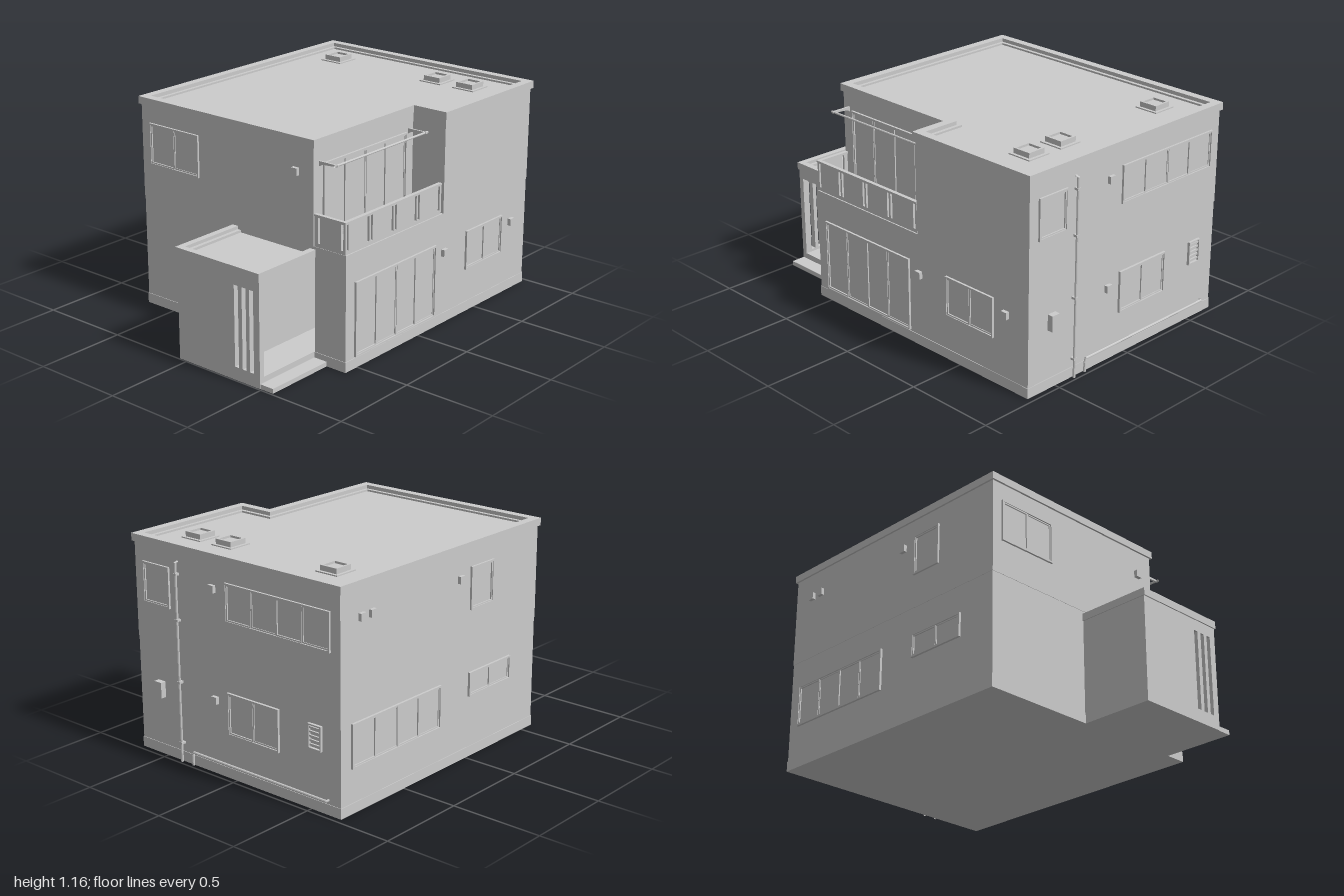
import * as THREE from 'three';

const mat = new THREE.MeshStandardMaterial({ color: 0xcccccc, flatShading: true, side: THREE.DoubleSide });

function add(parent, name, geo, x = 0, y = 0, z = 0) {
  const m = new THREE.Mesh(geo, mat);
  m.name = name;
  m.position.set(x, y, z);
  parent.add(m);
  return m;
}

// Box given by its limits
function block(parent, name, x0, x1, y0, y1, z0, z1) {
  return add(parent, name, new THREE.BoxGeometry(x1 - x0, y1 - y0, z1 - z0),
    (x0 + x1) / 2, (y0 + y1) / 2, (z0 + z1) / 2);
}

const shapeOf = pts => new THREE.Shape(pts.map(p => new THREE.Vector2(p[0], p[1])));
const rect = (x0, x1, y0, y1) => [[x0, y0], [x1, y0], [x1, y1], [x0, y1]];

function plate(outer, holes, depth) {
  const s = shapeOf(outer);
  holes.forEach(h => s.holes.push(shapeOf(h)));
  return new THREE.ExtrudeGeometry(s, { depth, bevelEnabled: false });
}

// Plan outline in (x, z) raised from y0 to y1
function storey(parent, name, outer, y0, y1, holes = []) {
  const flip = pts => pts.map(([x, z]) => [x, -z]);
  const g = plate(flip(outer), holes.map(flip), y1 - y0).rotateX(-Math.PI / 2);
  return add(parent, name, g, 0, y0, 0);
}

// L-shaped upper plan, inset by d
const roofPlan = d => [
  [-0.70 + d, -0.98 + d], [0.70 - d, -0.98 + d], [0.70 - d, -0.188 - d],
  [0.495 - d, -0.188 - d], [0.495 - d, 0.60 - d], [-0.70 + d, 0.60 - d]];

// Group lying on a wall, local +z pointing outwards, u = world x or z along the wall
function onWall(parent, name, side, u, y, out) {
  const g = new THREE.Group();
  g.name = name;
  const turn = { front: 0, right: Math.PI / 2, back: Math.PI, left: -Math.PI / 2 }[side];
  g.rotation.y = turn;
  if (side === 'front' || side === 'back') g.position.set(u, y, side === 'front' ? out : -out);
  else g.position.set(side === 'right' ? out : -out, y, u);
  parent.add(g);
  return g;
}

function addWindow(parent, name, side, u0, u1, y0, y1, panes, out) {
  const g = onWall(parent, name, side, (u0 + u1) / 2, (y0 + y1) / 2, out);
  const w = u1 - u0, h = y1 - y0, f = 0.009;
  const inner = rect(-w / 2 + f, w / 2 - f, -h / 2 + f, h / 2 - f);
  add(g, 'frame', plate(rect(-w / 2, w / 2, -h / 2, h / 2), [inner], 0.018), 0, 0, -0.006);
  block(g, 'glass', -w / 2 + f, w / 2 - f, -h / 2 + f, h / 2 - f, -0.004, 0.001);
  // sashes alternate in depth like sliding panels
  const pw = (w - 2 * f) / panes, s = 0.007;
  for (let i = 0; i < panes; i++) {
    const x0 = -w / 2 + f + i * pw, x1 = x0 + pw;
    const hole = rect(x0 + s, x1 - s, -h / 2 + f + s, h / 2 - f - s);
    add(g, 'sash', plate(rect(x0, x1, -h / 2 + f, h / 2 - f), [hole], i % 2 ? 0.005 : 0.008));
  }
}

function addVent(parent, side, u, y, out) {
  const g = onWall(parent, 'vent', side, u, y, out);
  block(g, 'ventHood', -0.018, 0.018, -0.019, 0.019, 0, 0.022);
}

function pipe(parent, name, pts, r) {
  const path = new THREE.CurvePath();
  const v = pts.map(p => new THREE.Vector3(...p));
  for (let i = 1; i < v.length; i++) path.add(new THREE.LineCurve3(v[i - 1], v[i]));
  add(parent, name, new THREE.TubeGeometry(path, 40, r, 8, false));
}

export function createModel() {
  const house = new THREE.Group();
  house.name = 'house';

  // Foundation, ground floor with entrance recess, upper floor
  storey(house, 'foundation', rect(-0.69, 0.69, -0.97, 0.59), 0, 0.055);
  storey(house, 'groundFloor', [[-0.687, -0.967], [0.687, -0.967], [0.687, 0.587], [0.49, 0.587],
    [0.49, 0.33], [0.30, 0.33], [0.30, 0.587], [-0.687, 0.587]], 0.055, 0.51);
  storey(house, 'floorBand', rect(-0.687, 0.687, -0.967, 0.587), 0.51, 0.615);
  storey(house, 'upperFloor', roofPlan(0.011), 0.615, 1.125);

  // Roof and parapet
  storey(house, 'roofDeck', roofPlan(0.04), 1.12, 1.13);
  storey(house, 'parapet', roofPlan(0), 1.12, 1.16, [roofPlan(0.046)]);
  storey(house, 'parapetStep', roofPlan(0.046), 1.12, 1.14, [roofPlan(0.065)]);
  for (const x of [-0.455, 0.24, 0.455]) {
    const hatch = new THREE.Group();
    hatch.name = 'roofHatch';
    hatch.position.set(x, 0, -0.735);
    house.add(hatch);
    block(hatch, 'hatchBase', -0.068, 0.068, 1.125, 1.136, -0.068, 0.068);
    storey(hatch, 'hatchRim', rect(-0.052, 0.052, -0.052, 0.052), 1.13, 1.163,
      [rect(-0.04, 0.04, -0.04, 0.04)]);
    block(hatch, 'hatchPane', -0.042, 0.042, 1.13, 1.152, -0.042, 0.042);
  }

  // Porch, open on the left side
  const porch = new THREE.Group();
  porch.name = 'porch';
  house.add(porch);
  block(porch, 'porchFloor', -0.05, 0.49, 0, 0.056, 0.58, 0.993);
  block(porch, 'porchStep', 0.49, 0.57, 0, 0.025, 0.59, 0.99);
  block(porch, 'porchBlock', -0.05, 0.30, 0.055, 0.51, 0.58, 0.993);
  block(porch, 'porchCeiling', -0.05, 0.49, 0.51, 0.57, 0.58, 0.993);
  const slits = [0.341, 0.391, 0.439].map(x => rect(x - 0.013, x + 0.013, 0.07, 0.5));
  add(porch, 'slottedWall', plate(rect(0.30, 0.49, 0.055, 0.51), slits, 0.03), 0, 0, 0.963);
  storey(porch, 'porchParapet', rect(-0.055, 0.495, 0.55, 1.0), 0.56, 0.60,
    [rect(-0.02, 0.46, 0.56, 0.965)]);
  storey(porch, 'porchParapetStep', rect(-0.02, 0.46, 0.56, 0.965), 0.56, 0.583,
    [rect(0, 0.44, 0.57, 0.945)]);
  block(porch, 'doorLeaf', 0.298, 0.306, 0.06, 0.50, 0.62, 0.89);
  block(porch, 'doorHandle', 0.306, 0.322, 0.165, 0.29, 0.851, 0.858);
  block(porch, 'porchLamp', 0.298, 0.318, 0.38, 0.418, 0.90, 0.938);

  // Balcony fence with narrow gaps beside each post
  const balcony = new THREE.Group();
  balcony.name = 'balcony';
  house.add(balcony);
  const gaps = us => us.map(u => rect(u - 0.007, u + 0.007, 0.635, 0.768));
  const sideFence = plate(rect(-0.585, 0.188, 0.612, 0.78),
    gaps([-0.568, -0.408, -0.382, -0.217, -0.191, -0.028, -0.002, 0.168]), 0.012).rotateY(Math.PI / 2);
  add(balcony, 'sideFence', sideFence, 0.668);
  add(balcony, 'frontFence', plate(rect(0.486, 0.68, 0.612, 0.78), gaps([0.516, 0.66]), 0.012), 0, 0, 0.573);
  block(balcony, 'sideHandrail', 0.663, 0.684, 0.773, 0.783, -0.187, 0.588);
  block(balcony, 'frontHandrail', 0.486, 0.684, 0.773, 0.783, 0.568, 0.588);

  // Drying pole on two tapered brackets
  const arm = plate([[0.484, 1.015], [0.505, 1.028], [0.60, 1.034], [0.60, 1.043], [0.484, 1.043]], [], 0.01);
  for (const z of [0.54, -0.165]) add(balcony, 'poleBracket', arm, 0, 0, z);
  pipe(balcony, 'dryingPole', [[0.59, 1.038, 0.56], [0.59, 1.038, -0.18]], 0.006);

  // Windows: name, side, limits along wall, limits in height, panes, wall distance
  const windows = [
    ['frontWindow', 'front', -0.63, -0.28, 0.80, 1.027, 2, 0.588],
    ['balconyDoor', 'right', -0.137, 0.52, 0.63, 1.027, 4, 0.484],
    ['terraceDoor', 'right', -0.137, 0.52, 0.063, 0.46, 4, 0.687],
    ['sideWindow', 'right', -0.737, -0.405, 0.243, 0.46, 2, 0.687],
    ['longLowWindow', 'left', -0.895, -0.22, 0.235, 0.465, 4, 0.688],
    ['shallowWindow', 'left', 0.013, 0.365, 0.335, 0.465, 2, 0.688],
    ['tallWindow', 'left', 0.013, 0.20, 0.80, 1.027, 1, 0.688],
    ['backSquareWindow', 'back', 0.44, 0.63, 0.81, 1.027, 1, 0.968],
    ['backLongWindow', 'back', -0.63, 0.05, 0.825, 1.027, 4, 0.968],
    ['backLowWindow', 'back', -0.295, 0.05, 0.235, 0.46, 2, 0.968]];
  windows.forEach(w => addWindow(house, ...w));

  // Wall vents
  const vents = [['front', 0.375, 0.98, 0.587], ['right', -0.21, 0.4, 0.685], ['right', -0.82, 0.4, 0.685],
    ['left', -0.825, 0.98, 0.685], ['left', -0.75, 0.98, 0.685], ['left', -0.07, 0.98, 0.685],
    ['back', 0.135, 0.98, 0.965], ['back', 0.135, 0.4, 0.965]];
  vents.forEach(v => addVent(house, ...v));

  // Back wall fittings
  block(house, 'meterBox', 0.505, 0.555, 0.32, 0.405, -0.998, -0.965);
  const panel = onWall(house, 'grillePanel', 'back', -0.53, 0.38, 0.966);
  add(panel, 'grilleFrame', plate(rect(-0.042, 0.042, -0.065, 0.065),
    [rect(-0.034, 0.034, -0.057, 0.057)], 0.015));
  for (let i = 0; i < 5; i++) block(panel, 'grilleSlat', -0.034, 0.034, -0.048 + i * 0.022, -0.038 + i * 0.022, 0, 0.01);
  pipe(house, 'drainPipe', [[0.38, 1.07, -0.96], [0.38, 1.07, -0.985], [0.38, 0.003, -0.985]], 0.007);
  for (const y of [0.1, 0.43, 0.76, 1.0]) block(house, 'pipeClamp', 0.37, 0.39, y, y + 0.012, -0.993, -0.96);
  pipe(house, 'lowPipe', [[0.30, 0.003, -0.982], [0.30, 0.075, -0.982], [-0.61, 0.075, -0.982], [-0.61, 0.075, -0.96]], 0.007);

  return house;
}
